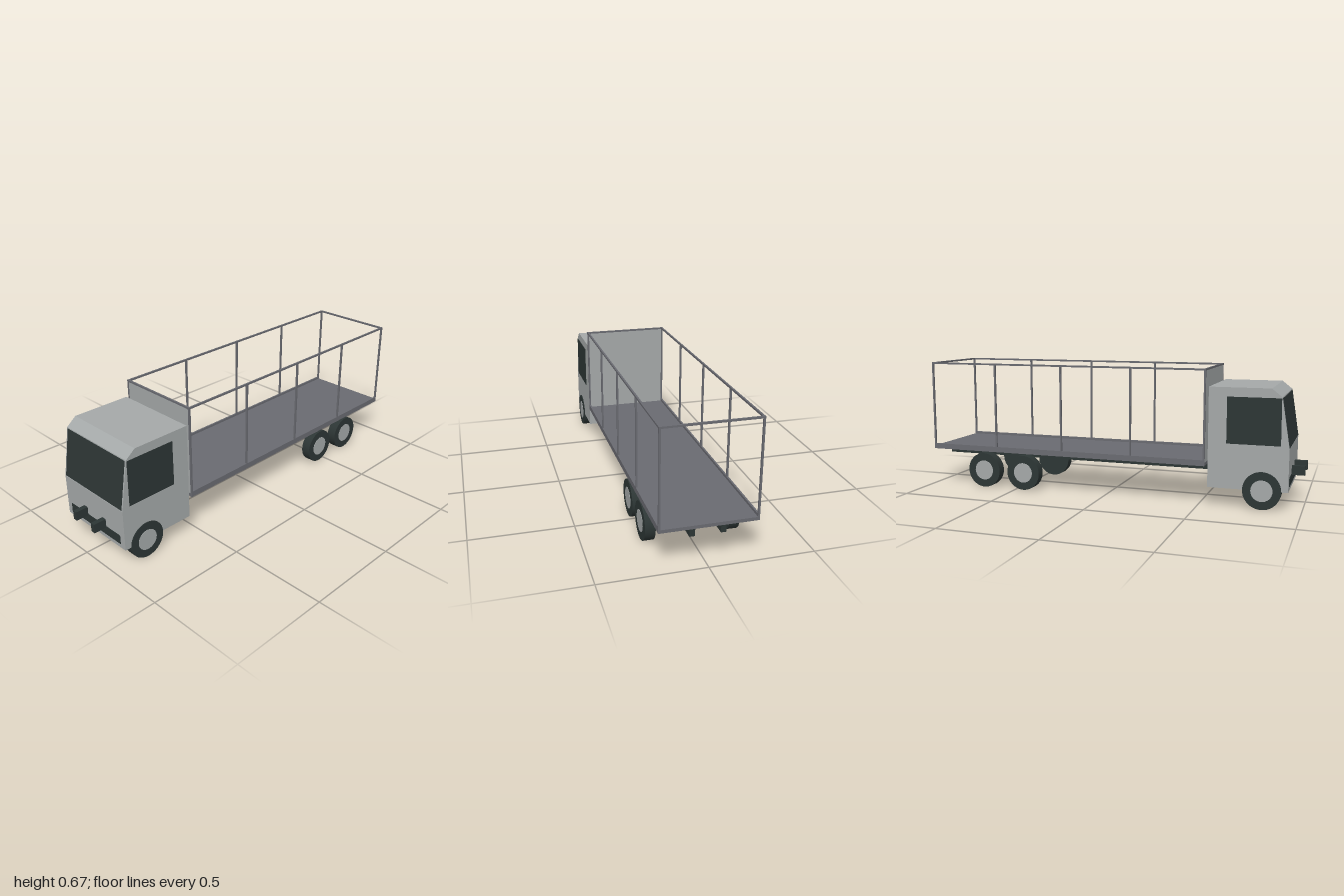
import * as THREE from 'three';

const mat = (name, color) => {
  const m = new THREE.MeshStandardMaterial({ color });
  m.name = name;
  return m;
};

export function createModel() {
  const truck = new THREE.Group();
  truck.name = 'flatbedTruck';
  const paint = mat('lightGreyPaint', 0xa5a9a9);
  const dark = mat('darkRubberAndGlass', 0x2d3635);
  const steel = mat('bedSteel', 0x6a6b71);

  const add = (name, geometry, material) => {
    const mesh = new THREE.Mesh(geometry, material);
    mesh.name = name;
    truck.add(mesh);
    return mesh;
  };
  // Box given by its minimum and maximum on each axis
  const box = (name, x0, x1, y0, y1, z0, z1, material) => {
    const mesh = add(name, new THREE.BoxGeometry(x1 - x0, y1 - y0, z1 - z0), material);
    mesh.position.set((x0 + x1) / 2, (y0 + y1) / 2, (z0 + z1) / 2);
    return mesh;
  };

  // Cab: side profile extruded across the width
  const cabHalf = 0.223;
  const profile = new THREE.Shape([
    [-0.935, 0.093], [-0.545, 0.093], [-0.545, 0.588], [-0.845, 0.588],
    [-0.895, 0.548], [-0.935, 0.3],
  ].map(([x, y]) => new THREE.Vector2(x, y)));
  const cab = new THREE.ExtrudeGeometry(profile, { depth: 2 * cabHalf, bevelEnabled: false });
  cab.translate(0, 0, -cabHalf);
  add('cab', cab, paint);

  // Windscreen: thin plate lying on the sloping front
  const low = new THREE.Vector2(-0.934, 0.306);
  const high = new THREE.Vector2(-0.896, 0.543);
  const screen = add('windscreen',
    new THREE.BoxGeometry(0.004, low.distanceTo(high), 0.43), dark);
  screen.position.set((low.x + high.x) / 2, (low.y + high.y) / 2, 0);
  screen.rotation.z = -Math.atan2(high.x - low.x, high.y - low.y);

  // Lower front grille
  box('grille', -0.938, -0.934, 0.115, 0.16, -0.19, 0.19, dark);

  // Side windows, with the front edge following the cab slope
  const pane = new THREE.Shape([
    [-0.895, 0.315], [-0.635, 0.315], [-0.635, 0.543], [-0.893, 0.543],
  ].map(([x, y]) => new THREE.Vector2(x, y)));
  for (const side of [-1, 1]) {
    const g = new THREE.ExtrudeGeometry(pane, { depth: 0.004, bevelEnabled: false });
    g.translate(0, 0, side * cabHalf - 0.002);
    add('sideWindow', g, dark);
  }

  // Chassis rails
  box('chassisRail', -1, 0.98, 0.152, 0.198, 0.06, 0.085, dark);
  box('chassisRail', -1, 0.98, 0.152, 0.198, -0.081, -0.057, dark);

  // Load bed with raised side edges
  const x0 = -0.53, x1 = 0.995, half = 0.227, bar = 0.009, top = 0.674;
  box('bedFloor', x0, x1, 0.196, 0.212, -half, half, steel);
  for (const side of [-1, 1]) {
    const outer = side * half, inner = side * (half - bar);
    const za = Math.min(outer, inner), zb = Math.max(outer, inner);
    box('bedSideEdge', x0, x1, 0.212, 0.225, za, zb, steel);
    box('topSideRail', x0, x1, top - bar, top, za, zb, steel);
    // Evenly spaced posts
    for (let i = 0; i < 5; i++) {
      const x = x0 + (x1 - x0 - bar) * i / 4;
      box('post', x, x + bar, 0.212, top - bar, za, zb, steel);
    }
  }
  for (const x of [x0, x1 - bar]) {
    box('topCrossRail', x, x + bar, top - bar, top, -half + bar, half - bar, steel);
  }

  // Front bulkhead panel
  box('bulkhead', x0 + 0.002, x0 + 0.006, 0.212, top - bar, -half + bar, half - bar, paint);

  // Wheels with hub discs on the outer faces
  const tyre = new THREE.CylinderGeometry(0.093, 0.093, 0.05, 40).rotateX(Math.PI / 2);
  const hub = new THREE.CylinderGeometry(0.053, 0.053, 0.006, 32).rotateX(Math.PI / 2);
  for (const x of [-0.81, 0.455, 0.688]) {
    for (const side of [-1, 1]) {
      add('tyre', tyre, dark).position.set(x, 0.093, side * 0.202);
      add('hub', hub, paint).position.set(x, 0.093, side * 0.2255);
    }
  }
  return truck;
}
